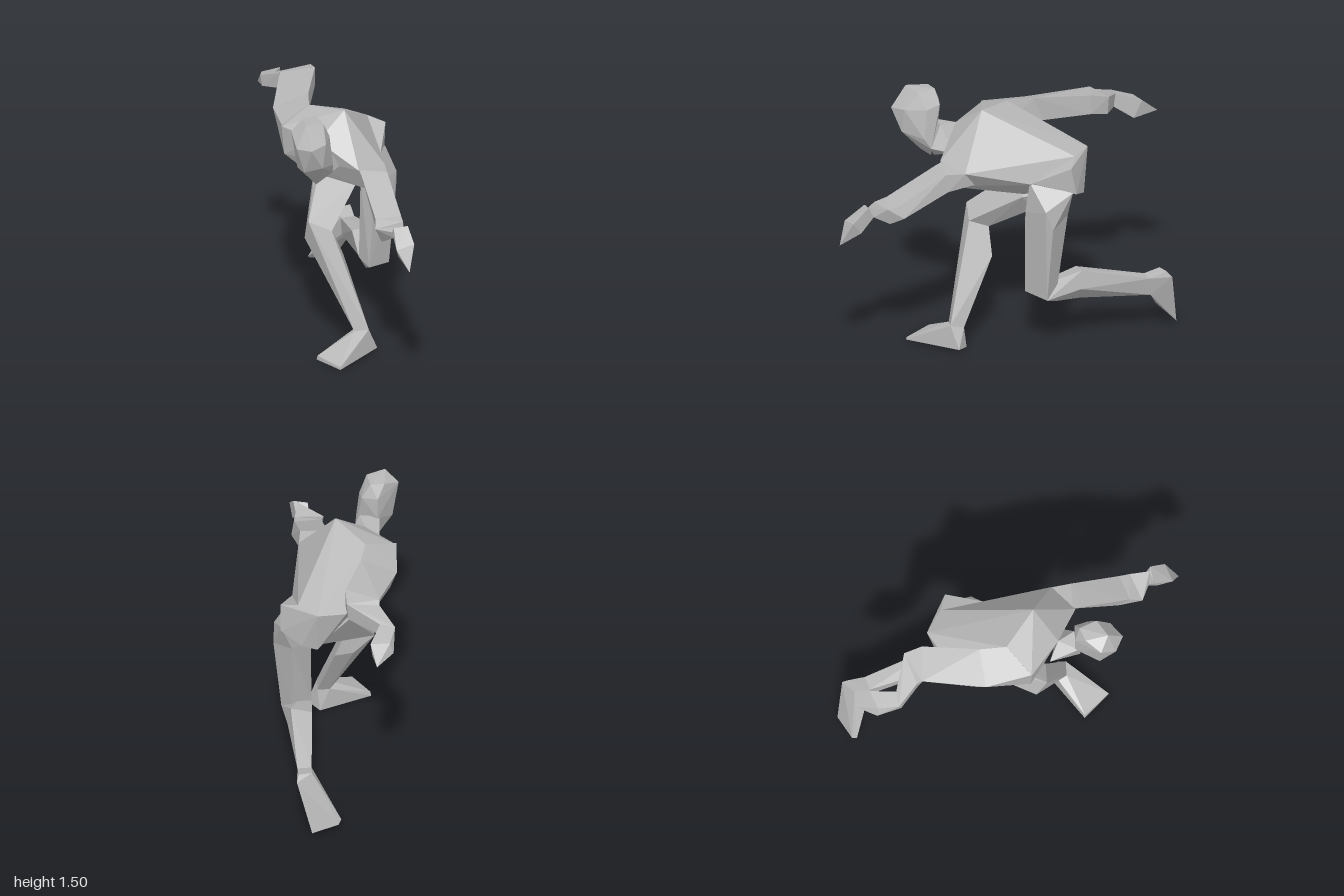
import * as THREE from 'three';
import { ConvexGeometry } from 'three/addons/geometries/ConvexGeometry.js';

const clay = new THREE.MeshStandardMaterial({ color: 0xb8b8b8, flatShading: true });
clay.name = 'grey clay';

// Faceted solid spanning a few corner points
function facet(name, corners) {
  const points = corners.map((c) => new THREE.Vector3(...c));
  const mesh = new THREE.Mesh(new ConvexGeometry(points), clay);
  mesh.name = name;
  return mesh;
}

// Limb made of faceted segments between consecutive cross-sections
function limb(name, rings) {
  const group = new THREE.Group();
  group.name = name;
  for (let i = 0; i < rings.length - 1; i++) {
    group.add(facet(`${name}Segment${i + 1}`, [...rings[i], ...rings[i + 1]]));
  }
  return group;
}

export function createModel() {
  const model = new THREE.Group();
  model.name = 'crouchingFigure';

  // Torso: hunched back, chest, waist and pelvis
  model.add(facet('torso', [
    [0, 1.415, 0.1], [0.205, 1.13, 0.26], [0.035, 1.15, 0.355], [0.1, 1.02, 0.335],
    [-0.17, 1.28, 0.2], [-0.34, 1.3, 0], [-0.325, 1.13, 0], [-0.21, 1.04, 0.05],
    [-0.165, 1.375, -0.1], [-0.1, 1.1, -0.3], [-0.05, 1.13, -0.43],
    [0.11, 1.16, -0.49], [0.22, 1.16, -0.38], [0.11, 0.9, -0.45],
    [0.11, 0.915, -0.11], [-0.025, 0.94, -0.06], [0.25, 1.03, -0.13],
  ]));
  model.add(facet('leftHip', [
    [0.11, 1.16, -0.49], [0.22, 1.16, -0.38], [0.316, 1.13, -0.33], [0.316, 0.97, -0.36],
    [0.25, 1.04, -0.12], [0.1, 0.93, -0.15], [0.11, 0.9, -0.45], [0.2, 0.92, -0.44],
  ]));

  // Neck and head
  model.add(facet('neck', [
    [-0.17, 1.28, 0.2], [-0.25, 1.2, 0.13], [-0.2, 1.08, 0.15], [-0.05, 1.14, 0.24],
    [-0.14, 1.29, 0.3], [-0.25, 1.28, 0.3], [-0.205, 1.08, 0.32], [-0.12, 1.157, 0.36],
  ]));
  model.add(facet('head', [
    // crown
    [-0.285, 1.495, 0.46], [-0.18, 1.485, 0.42], [-0.2, 1.49, 0.315], [-0.28, 1.485, 0.33],
    // brow
    [-0.36, 1.445, 0.4], [-0.345, 1.37, 0.49], [-0.27, 1.375, 0.55], [-0.18, 1.39, 0.5],
    [-0.138, 1.39, 0.38], [-0.15, 1.41, 0.3], [-0.24, 1.41, 0.28],
    // jaw and chin
    [-0.325, 1.22, 0.4], [-0.3, 1.22, 0.48], [-0.2, 1.25, 0.51], [-0.12, 1.22, 0.4],
    [-0.24, 1.28, 0.28], [-0.205, 1.077, 0.335], [-0.115, 1.157, 0.36], [-0.2, 1.13, 0.4],
  ]));

  // Left arm, reaching forward and down
  const leftWrist = [[0.14, 0.96, 0.81], [0.2, 1.0, 0.83], [0.21, 0.94, 0.8], [0.15, 0.92, 0.8]];
  model.add(limb('leftArm', [
    [[0.04, 1.15, 0.34], [0.203, 1.13, 0.26], [0.19, 1.05, 0.2], [0.09, 1.02, 0.32]],
    [[0.045, 1.13, 0.39], [0.195, 1.135, 0.37], [0.2, 1.03, 0.36], [0.09, 1.005, 0.37]],
    [[0.07, 0.99, 0.68], [0.22, 0.99, 0.66], [0.24, 0.92, 0.63], [0.09, 0.88, 0.62]],
    [[0.055, 0.96, 0.75], [0.22, 0.98, 0.72], [0.2, 0.88, 0.7], [0.1, 0.86, 0.705]],
    leftWrist,
  ]));
  model.add(facet('leftHand', [
    ...leftWrist, [0.145, 0.995, 0.835], [0.225, 1.005, 0.84],
    [0.14, 0.91, 0.95], [0.245, 0.93, 0.93],
    [0.205, 0.79, 1], [0.165, 0.835, 0.865], [0.23, 0.86, 0.88],
  ]));

  // Right arm, swung backward
  const rightWrist = [
    [-0.32, 1.28, -0.765], [-0.235, 1.295, -0.76], [-0.235, 1.215, -0.75], [-0.31, 1.22, -0.75],
  ];
  model.add(limb('rightArm', [
    [[-0.34, 1.31, 0], [-0.165, 1.38, -0.1], [-0.15, 1.2, -0.05], [-0.325, 1.13, 0]],
    [[-0.34, 1.3, -0.265], [-0.14, 1.38, -0.25], [-0.13, 1.24, -0.3], [-0.3, 1.22, -0.3]],
    [[-0.235, 1.36, -0.61], [-0.045, 1.395, -0.56], [-0.045, 1.28, -0.56], [-0.2, 1.265, -0.59]],
    [[-0.235, 1.34, -0.64], [-0.05, 1.37, -0.665], [-0.06, 1.26, -0.66], [-0.22, 1.25, -0.63]],
    rightWrist,
  ]));
  model.add(facet('rightHand', [
    ...rightWrist, [-0.31, 1.19, -0.89], [-0.29, 1.25, -0.88], [-0.18, 1.26, -0.9],
    [-0.215, 1.17, -1], [-0.19, 1.15, -0.855],
  ]));

  // Left leg: upright thigh, shin trailing behind, foot hanging on its toes
  const leftAnkle = [[0.15, 0.345, -0.81], [0.23, 0.345, -0.82], [0.21, 0.235, -0.83], [0.16, 0.235, -0.83]];
  model.add(limb('leftThigh', [
    [[0.15, 1.0, -0.15], [0.235, 1.04, -0.11], [0.316, 0.98, -0.34], [0.16, 0.93, -0.38]],
    [[0.145, 0.85, -0.18], [0.215, 0.85, -0.09], [0.35, 0.895, -0.17], [0.355, 0.78, -0.21], [0.25, 0.82, -0.33]],
    [[0.14, 0.37, -0.2], [0.18, 0.345, -0.1], [0.31, 0.33, -0.19], [0.25, 0.33, -0.26]],
  ]));
  model.add(limb('leftShin', [
    [[0.14, 0.37, -0.2], [0.18, 0.345, -0.1], [0.31, 0.33, -0.19], [0.195, 0.265, -0.28]],
    [[0.14, 0.44, -0.41], [0.26, 0.465, -0.41], [0.28, 0.36, -0.4], [0.19, 0.265, -0.42]],
    leftAnkle,
  ]));
  model.add(facet('leftFoot', [
    ...leftAnkle, [0.15, 0.37, -0.9], [0.225, 0.375, -0.92], [0.235, 0.34, -0.95],
    [-0.015, 0.07, -0.93], [0.0, 0.05, -0.955], [0.15, 0.025, -1], [0.13, 0.06, -0.965],
  ]));

  // Right leg: bent knee in front, foot planted
  const rightAnkle = [[0.02, 0.14, 0.3], [0.1, 0.15, 0.315], [0.1, 0.13, 0.235], [0.03, 0.13, 0.24]];
  const rightKnee = [[-0.21, 0.755, 0.125], [-0.08, 0.7, 0.15], [-0.06, 0.66, 0.04], [-0.22, 0.63, 0.06]];
  model.add(facet('rightThigh', [
    [-0.09, 0.98, -0.15], [0.12, 0.9, -0.1], [0.1, 0.9, -0.4], [-0.07, 1.03, -0.34],
    [0.08, 0.8, -0.18], ...rightKnee,
  ]));
  model.add(facet('rightShin', [
    ...rightKnee, [0.005, 0.505, 0.04], [-0.1, 0.52, 0.045], ...rightAnkle,
  ]));
  model.add(facet('rightFoot', [
    ...rightAnkle, [-0.205, 0.005, 0.345], [-0.1, 0.005, 0.515], [-0.1, 0.02, 0.51],
    [-0.2, 0.03, 0.35], [0.085, 0, 0.215], [0.155, 0.02, 0.28],
  ]));

  return model;
}
